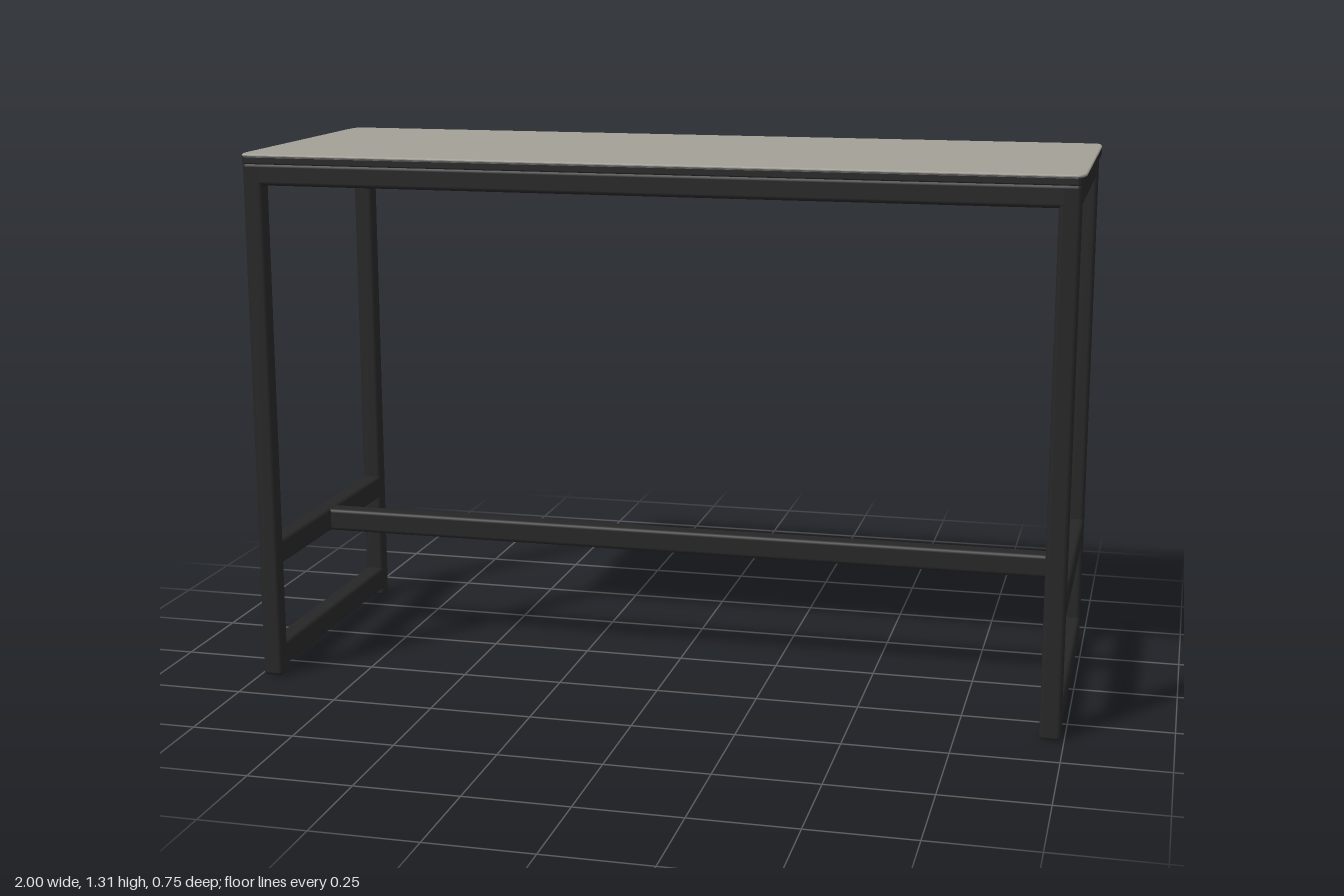
import * as THREE from 'three';
import { RoundedBoxGeometry } from 'three/addons/geometries/RoundedBoxGeometry.js';

export function createModel() {
  const model = new THREE.Group();
  model.name = 'highTable';

  const frameMetal = new THREE.MeshStandardMaterial({ color: 0x262626 });
  frameMetal.name = 'blackFrame';
  const topSurface = new THREE.MeshStandardMaterial({ color: 0xa29f96 });
  topSurface.name = 'warmGreyTop';

  function add(name, geometry, material, position, parent = model) {
    const mesh = new THREE.Mesh(geometry, material);
    mesh.name = name;
    mesh.position.set(...position);
    parent.add(mesh);
  }

  // Square tube with softly rounded edges
  function tube(name, size, position, parent) {
    add(name, new RoundedBoxGeometry(...size, 3, 0.01), frameMetal, position, parent);
  }

  const legX = 0.967, legZ = 0.35;

  // End frames: two legs, top rail, middle rail and floor rail
  for (const [side, s] of [['left', 1], ['right', -1]]) {
    const end = new THREE.Group();
    end.name = side + 'EndFrame';
    model.add(end);
    tube('frontLeg', [0.05, 1.29, 0.042], [s * legX, 0.645, legZ], end);
    tube('backLeg', [0.05, 1.29, 0.042], [s * legX, 0.645, -legZ], end);
    tube('topRail', [0.05, 0.054, 0.7], [s * legX, 1.263, 0], end);
    tube('middleRail', [0.05, 0.06, 0.7], [s * legX, 0.316, 0], end);
    tube('floorRail', [0.05, 0.06, 0.7], [s * legX, 0.05, 0], end);
  }

  // Long rails under the top, and the central foot stretcher
  tube('frontApron', [1.94, 0.054, 0.042], [0, 1.263, legZ]);
  tube('backApron', [1.94, 0.054, 0.042], [0, 1.263, -legZ]);
  tube('footStretcher', [1.92, 0.058, 0.05], [0, 0.316, 0]);

  // Grey panel filling the frame beneath the top
  add('undersidePanel', new THREE.BoxGeometry(1.9, 0.047, 0.67), topSurface, [0, 1.2665, 0]);

  // Tabletop outline with slightly bowed ends
  const w = 0.996, d = 0.369, inX = 0.982, inZ = 0.3;
  const outline = new THREE.Shape();
  outline.moveTo(-inX, -d);
  outline.lineTo(inX, -d);
  outline.quadraticCurveTo(w, -d, w, -inZ);
  outline.lineTo(w, inZ);
  outline.quadraticCurveTo(w, d, inX, d);
  outline.lineTo(-inX, d);
  outline.quadraticCurveTo(-w, d, -w, inZ);
  outline.lineTo(-w, -inZ);
  outline.quadraticCurveTo(-w, -d, -inX, -d);

  // Horizontal slab with rounded rim
  function slab(depth, bevel) {
    return new THREE.ExtrudeGeometry(outline, {
      depth, curveSegments: 6,
      bevelEnabled: true, bevelThickness: bevel, bevelSize: 0.004, bevelSegments: 3,
    }).rotateX(-Math.PI / 2);
  }

  // Dark edging below, thin grey surface above
  add('tabletopEdging', slab(0.013, 0.003), frameMetal, [0, 1.29, 0]);
  add('tabletopSurface', slab(0.001, 0.003), topSurface, [0, 1.3075, 0]);

  return model;
}
